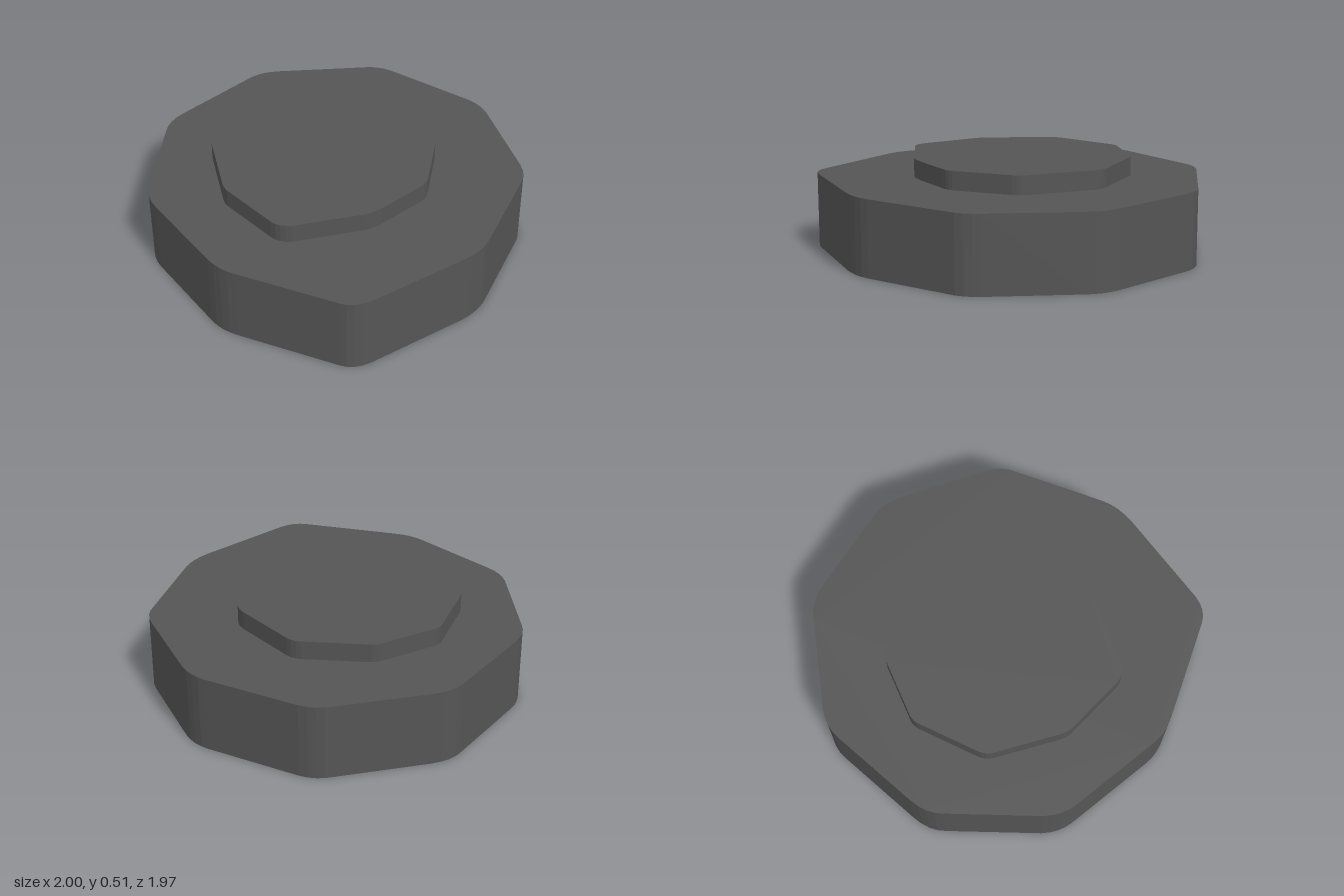
import * as THREE from 'three';

// Each corner of an outline: [startX, startZ, controlX, controlZ, endX, endZ]
const BASE_CORNERS = [
  [-0.09, -0.97, 0, -1.0, 0.09, -0.97],
  [0.565, -0.8, 0.66, -0.765, 0.7, -0.68],
  [0.955, -0.25, 1.003, -0.165, 1.0, -0.05],
  [0.978, 0.5, 0.97, 0.6, 0.9, 0.64],
  [0.43, 0.93, 0.35, 0.98, 0.26, 0.98],
  [-0.26, 0.98, -0.35, 0.98, -0.43, 0.92],
  [-0.82, 0.59, -0.89, 0.535, -0.91, 0.43],
  [-1.0, -0.08, -1.015, -0.16, -0.965, -0.25],
  [-0.71, -0.68, -0.67, -0.765, -0.58, -0.8],
];
const TOP_CORNERS = [
  [-0.27, -0.49, -0.23, -0.525, -0.155, -0.515],
  [0.17, -0.495, 0.22, -0.49, 0.255, -0.46],
  [0.47, -0.24, 0.505, -0.21, 0.51, -0.155],
  [0.535, 0.08, 0.545, 0.15, 0.53, 0.21],
  [0.39, 0.565, 0.36, 0.62, 0.3, 0.63],
  [-0.02, 0.67, -0.07, 0.68, -0.12, 0.655],
  [-0.43, 0.525, -0.475, 0.51, -0.5, 0.455],
  [-0.64, 0.16, -0.66, 0.12, -0.645, 0.08],
  [-0.565, -0.215, -0.555, -0.245, -0.53, -0.265],
];

// Upright slab with softened corners, from y = bottom to y = top
function slab(name, corners, bottom, top, material) {
  const shape = new THREE.Shape();
  corners.forEach(([sx, sz, cx, cz, ex, ez], i) => {
    if (i === 0) shape.moveTo(sx, sz);
    else shape.lineTo(sx, sz);
    shape.quadraticCurveTo(cx, cz, ex, ez);
  });
  shape.closePath();
  const geometry = new THREE.ExtrudeGeometry(shape, {
    depth: top - bottom, bevelEnabled: false, curveSegments: 4,
  });
  geometry.rotateX(Math.PI / 2).translate(0, top, 0);
  const mesh = new THREE.Mesh(geometry, material);
  mesh.name = name;
  return mesh;
}

export function createModel() {
  const stone = new THREE.MeshStandardMaterial({ color: 0x555555 });
  stone.name = 'dark grey stone';

  const model = new THREE.Group();
  model.name = 'steppedStone';
  model.add(
    slab('baseSlab', BASE_CORNERS, 0, 0.41, stone),
    slab('topSlab', TOP_CORNERS, 0.41, 0.512, stone),
  );
  return model;
}
